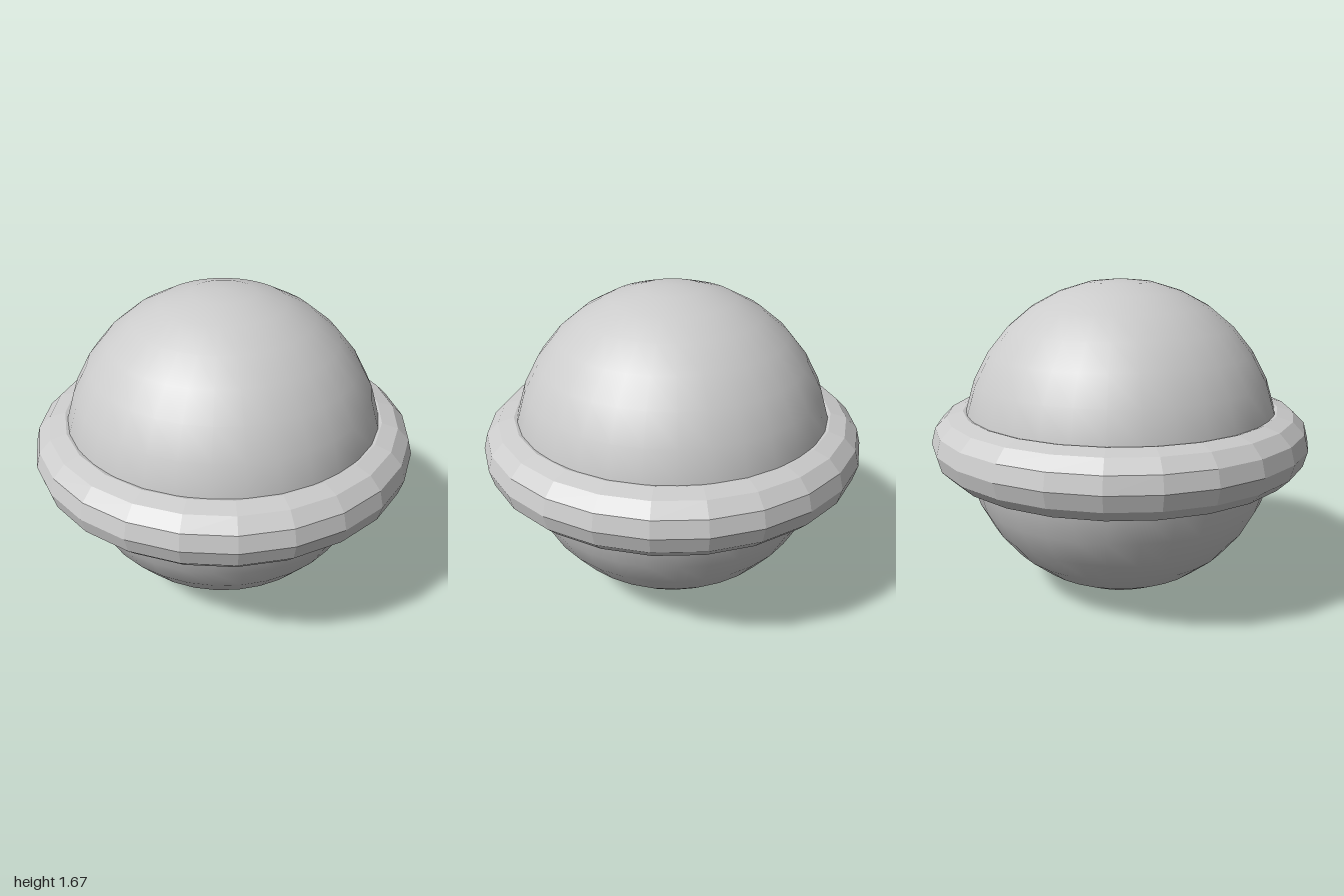
import * as THREE from 'three';

const R = 5 / 6; // sphere radius, also the ring's main radius
const TUBE = 1 / 6;

export function createModel() {
  const model = new THREE.Group();

  // Smooth globe
  const globe = new THREE.Mesh(
    new THREE.SphereGeometry(R, 32, 16),
    new THREE.MeshStandardMaterial({ color: 0xcccccc })
  );
  globe.name = 'globe';
  globe.position.y = R;

  // Faceted ring around the equator
  const ring = new THREE.Mesh(
    new THREE.TorusGeometry(R, TUBE, 12, 24),
    new THREE.MeshStandardMaterial({ color: 0xcccccc, flatShading: true })
  );
  ring.name = 'equatorRing';
  ring.rotation.x = Math.PI / 2;
  ring.position.y = R;

  model.add(globe, ring);
  return model;
}
